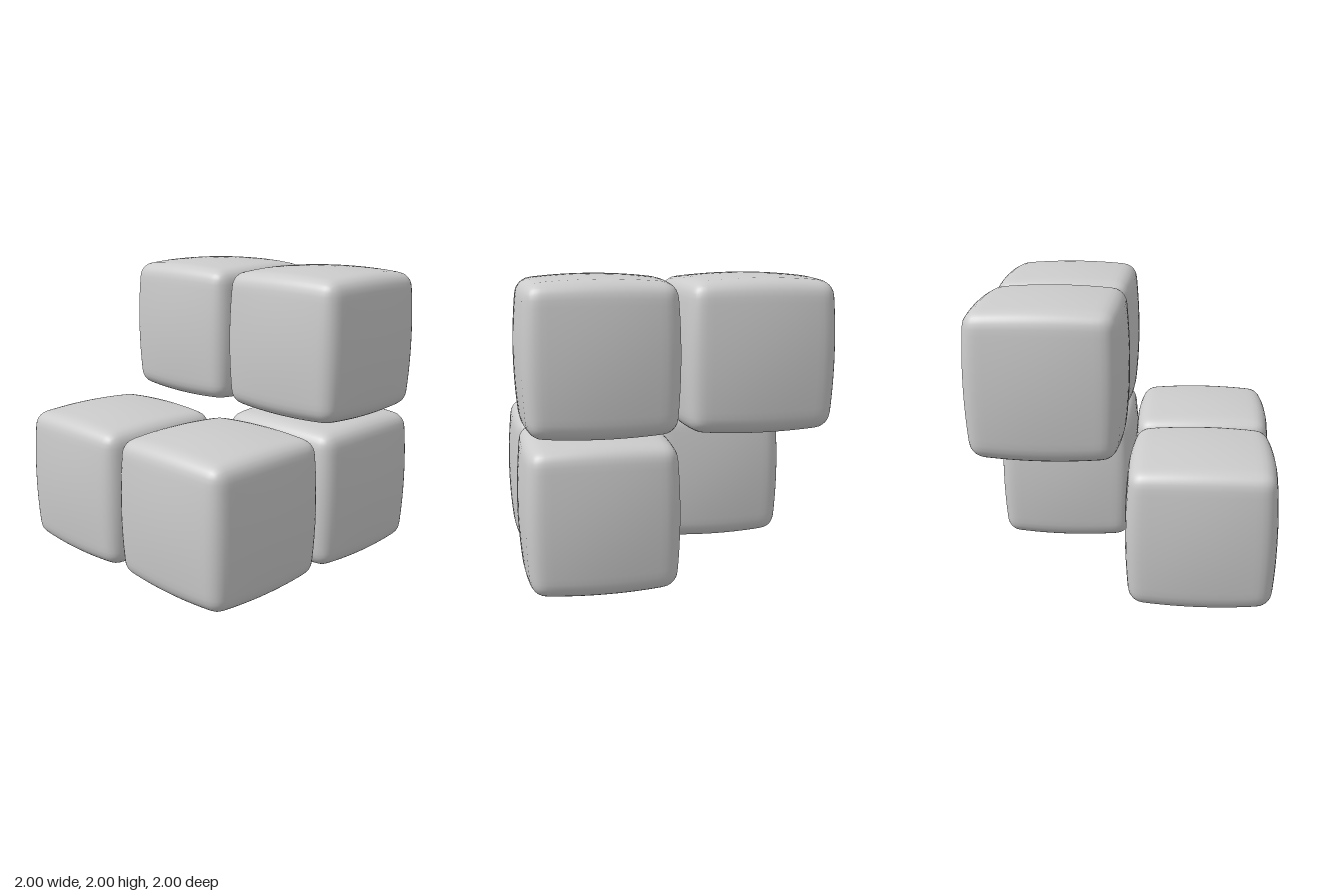
import * as THREE from 'three';
import { mergeVertices } from 'three/addons/utils/BufferGeometryUtils.js';

const HALF = 0.47;    // half size of the box before bulging
const RADIUS = 0.09;  // edge rounding
const BULGE = 0.035;  // how far each face swells at its middle
const OFFSET = 0.495; // cube centre distance from the middle planes

// Rounded cube with softly swollen faces
function pillowCube(segments = 24) {
  const box = new THREE.BoxGeometry(2, 2, 2, segments, segments, segments);
  box.deleteAttribute('normal');
  box.deleteAttribute('uv');
  const geometry = mergeVertices(box, 1e-4);
  const pos = geometry.attributes.position;
  const p = new THREE.Vector3();
  const core = new THREE.Vector3();
  const inner = HALF - RADIUS;
  const swell = (a, b) => BULGE * (1 - a * a - b * b + 0.5 * a * a * b * b);

  for (let i = 0; i < pos.count; i++) {
    p.fromBufferAttribute(pos, i);
    // crowd the grid lines towards the edges
    p.set(...p.toArray().map((v) => HALF * Math.sin((v * Math.PI) / 2)));
    // round edges and corners
    core.copy(p).clampScalar(-inner, inner);
    p.sub(core).setLength(RADIUS).add(core);
    // swell each axis by the position across the other two
    const [u, v, w] = p.toArray().map((c) => c / HALF);
    p.x += u * swell(v, w);
    p.y += v * swell(u, w);
    p.z += w * swell(u, v);
    pos.setXYZ(i, p.x, p.y, p.z);
  }
  geometry.computeVertexNormals();
  return geometry;
}

export function createModel() {
  const group = new THREE.Group();
  group.name = 'cubeCluster';
  const geometry = pillowCube();
  const material = new THREE.MeshStandardMaterial({ color: 0xcccccc });

  // Occupied cells: name, then side of x, y and z
  const cells = [
    ['lowerFrontLeftCube', 1, -1, 1],
    ['lowerFrontRightCube', -1, -1, 1],
    ['lowerBackLeftCube', 1, -1, -1],
    ['upperBackLeftCube', 1, 1, -1],
    ['upperBackRightCube', -1, 1, -1],
  ];
  for (const [name, x, y, z] of cells) {
    const cube = new THREE.Mesh(geometry, material);
    cube.name = name;
    cube.position.set(x * OFFSET, 1 + y * OFFSET, z * OFFSET);
    group.add(cube);
  }
  return group;
}
